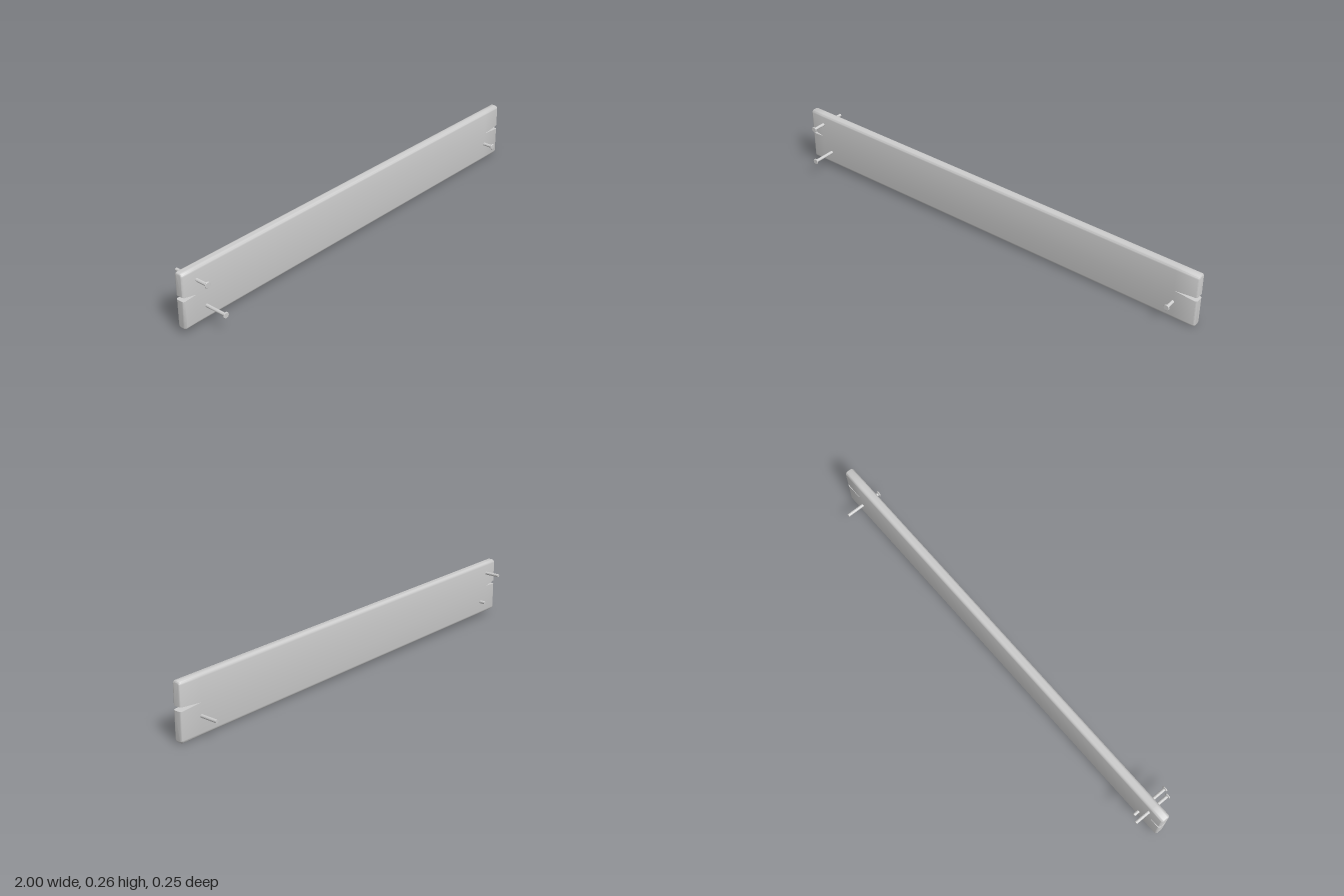
import * as THREE from 'three';
import { toCreasedNormals } from 'three/addons/utils/BufferGeometryUtils.js';

const material = new THREE.MeshStandardMaterial({ color: 0xcccccc });
const HALF_H = 0.121, HALF_T = 0.0205, ROUND = 0.014, END = 0.009;

// Slightly tilted centre line of the plank
const centreY = x => 0.132 - 0.011 * x;
const centreZ = x => -0.012 - 0.012 * x;

// Edge facing the end splits: the halves meet between the two tips
const TIP_L = [-0.935, 0.15], TIP_R = [0.9, 0.134];
function innerY(x, s) {
  const lerp = THREE.MathUtils.mapLinear;
  if (x < TIP_L[0]) return lerp(x, TIP_L[0], -1, TIP_L[1], s > 0 ? 0.164 : 0.146);
  if (x > TIP_R[0]) return lerp(x, TIP_R[0], 1, TIP_R[1], s > 0 ? 0.144 : 0.126);
  return lerp(x, TIP_L[0], TIP_R[0], TIP_L[1], TIP_R[1]);
}

// Half section with two rounded outer corners, front to back
function section(x, inset, s) {
  const r = ROUND - inset, t = HALF_T - inset;
  const outer = centreY(x) + s * (HALF_H - inset), zc = centreZ(x);
  const pts = [[x, innerY(x, s), zc + t]];
  for (const side of [1, -1]) {
    for (let k = 0; k <= 4; k++) {
      const a = (side > 0 ? k : 4 - k) * Math.PI / 8;
      pts.push([x, outer - s * r * (1 - Math.sin(a)), zc + side * (t - r * (1 - Math.cos(a)))]);
    }
  }
  pts.push([x, innerY(x, s), zc - t]);
  return pts;
}

// Upper (s = 1) or lower (s = -1) half of the plank, lofted along x
function plankHalf(s) {
  const stations = [];
  for (let k = 0; k <= 4; k++) {
    const a = k * Math.PI / 8;
    stations.push([-1 + END * (1 - Math.cos(a)), END * (1 - Math.sin(a))]);
  }
  const rightEnd = stations.map(([x, inset]) => [-x, inset]).reverse();
  stations.push([TIP_L[0], 0], [TIP_R[0], 0], ...rightEnd);

  const rings = stations.map(([x, inset]) => section(x, inset, s));
  const n = rings[0].length, last = (rings.length - 1) * n;
  const index = [];
  const tri = (a, b, c) => (s > 0 ? index.push(a, b, c) : index.push(a, c, b));
  for (let i = 0; i < rings.length - 1; i++) {
    for (let j = 0; j < n; j++) {
      const a = i * n + j, b = i * n + (j + 1) % n;
      tri(a, a + n, b);
      tri(b, a + n, b + n);
    }
  }
  for (let k = 1; k < n - 1; k++) {
    tri(0, k, k + 1);
    tri(last, last + k + 1, last + k);
  }
  const geo = new THREE.BufferGeometry();
  geo.setAttribute('position', new THREE.Float32BufferAttribute(rings.flat(2), 3));
  geo.setIndex(index);
  return toCreasedNormals(geo, 0.7);
}

// Nail along z with a domed head at the front
function nailGeometry() {
  const profile = [
    [0, -0.171], [0.007, -0.171], [0.007, -0.007], [0.012, -0.006],
    [0.0135, -0.004], [0.012, -0.001], [0.009, 0], [0, 0],
  ].map(p => new THREE.Vector2(...p));
  const geo = new THREE.LatheGeometry(profile, 16);
  geo.rotateX(Math.PI / 2);
  return toCreasedNormals(geo, 0.7);
}

export function createModel() {
  const model = new THREE.Group();
  model.name = 'nailedPlank';
  const add = (geo, name) => {
    const mesh = new THREE.Mesh(geo, material);
    mesh.name = name;
    model.add(mesh);
    return mesh;
  };

  add(plankHalf(1), 'plankUpperHalf');
  add(plankHalf(-1), 'plankLowerHalf');

  // Two nails at the right end, one at the left; each pushed in differently
  const nail = nailGeometry();
  add(nail, 'nailUpperRight').position.set(-0.93, 0.212, 0.081);
  add(nail, 'nailLowerRight').position.set(-0.89, 0.081, 0.125);
  add(nail, 'nailLowerLeft').position.set(0.9, 0.081, 0.047);
  return model;
}
